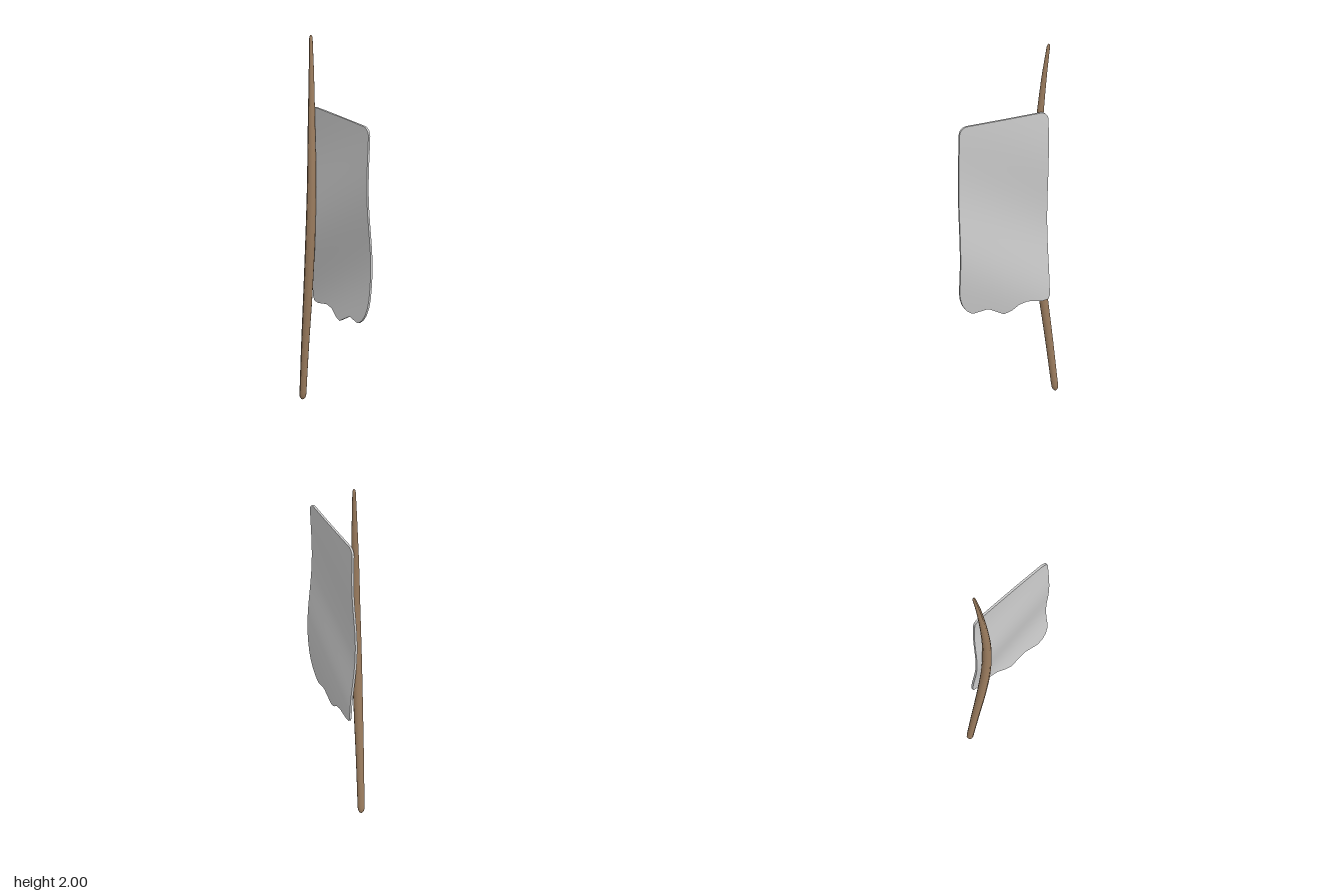
import * as THREE from 'three';

const SIDES = 12, RINGS = 48;

// Bowed pole: centre line and radius both follow splines
function createPole() {
  const path = new THREE.CatmullRomCurve3([
    [-0.276, 0, -0.001], [-0.243, 0.3, 0.008], [-0.207, 0.6, 0.016], [-0.18, 0.9, 0.021],
    [-0.172, 1.2, 0.018], [-0.185, 1.5, 0.009], [-0.208, 1.8, -0.007], [-0.23, 2, -0.02],
  ].map(p => new THREE.Vector3(...p)));
  const radius = new THREE.SplineCurve([
    [0, 0.018], [0.3, 0.021], [0.6, 0.0245], [0.9, 0.026], [1.2, 0.0245], [1.5, 0.02], [1.8, 0.014], [2, 0.009],
  ].map(p => new THREE.Vector2(...p)));

  const geo = new THREE.CylinderGeometry(1, 1, 1, SIDES, RINGS, true);
  const pos = geo.attributes.position;
  for (let i = 0; i < pos.count; i++) {
    // Cosine spacing puts more rings in the rounded ends
    const t = (1 - Math.cos(Math.PI * (pos.getY(i) + 0.5))) / 2;
    const c = path.getPoint(t);
    const capLow = Math.min(1, c.y / 0.03), capHigh = Math.min(1, (2 - c.y) / 0.025);
    const round = k => Math.sqrt(Math.max(0, 1 - (1 - k) ** 2));
    const r = radius.getPoint(t).y * round(capLow) * round(capHigh);
    pos.setXYZ(i, c.x + pos.getX(i) * r, c.y, c.z + pos.getZ(i) * r);
  }
  geo.computeVertexNormals();
  const mesh = new THREE.Mesh(geo, new THREE.MeshStandardMaterial({ color: 0x9c7d5f }));
  mesh.name = 'pole';
  return mesh;
}

// Torn lower edge as [x, y]
const HEM = [
  [-0.225, 0.57], [-0.215, 0.55], [-0.18, 0.545], [-0.1, 0.558], [-0.055, 0.547], [-0.01, 0.515], [0.03, 0.502],
  [0.12, 0.548], [0.205, 0.532], [0.24, 0.555], [0.265, 0.59], [0.28, 0.635], [0.285, 0.68],
];
const LEFT = -0.225, RIGHT = 0.285, TOP = 1.615, CORNER = 0.045, THICK = 0.012;

function hemY(x) {
  let i = 1;
  while (i < HEM.length - 1 && x > HEM[i][0]) i++;
  const [x0, y0] = HEM[i - 1], [x1, y1] = HEM[i];
  return THREE.MathUtils.mapLinear(x, x0, x1, y0, y1);
}

function topY(x) {
  const inset = Math.max(0, CORNER - Math.min(x - LEFT, RIGHT - x));
  return TOP - CORNER + Math.sqrt(Math.max(0, CORNER ** 2 - inset ** 2));
}

// Diagonal ripple that grows towards the hem
function ripple(x, y) {
  const u = (x - LEFT) / (RIGHT - LEFT);
  const crest = 1.02 + 0.3 * u;
  const strength = THREE.MathUtils.mapLinear(y, TOP, 0.55, 0.005, 0.02);
  return -0.018 + strength * Math.cos(2 * Math.PI * (y - crest) / 0.9);
}

// Hanging cloth: a finely divided slab bent to the outline and ripple
function createCloth() {
  const geo = new THREE.BoxGeometry(1, 1, 1, 56, 48, 1);
  const pos = geo.attributes.position;
  for (let i = 0; i < pos.count; i++) {
    const s = (1 - Math.cos(Math.PI * (pos.getX(i) + 0.5))) / 2;
    const x = THREE.MathUtils.lerp(LEFT, RIGHT, s);
    const y = THREE.MathUtils.lerp(hemY(x), topY(x), pos.getY(i) + 0.5);
    pos.setXYZ(i, x, y, ripple(x, y) + pos.getZ(i) * THICK);
  }
  geo.computeVertexNormals();
  const mesh = new THREE.Mesh(geo, new THREE.MeshStandardMaterial({ color: 0xcccccc }));
  mesh.name = 'bannerCloth';
  return mesh;
}

export function createModel() {
  const group = new THREE.Group();
  group.name = 'banner';
  group.add(createPole(), createCloth());
  return group;
}
